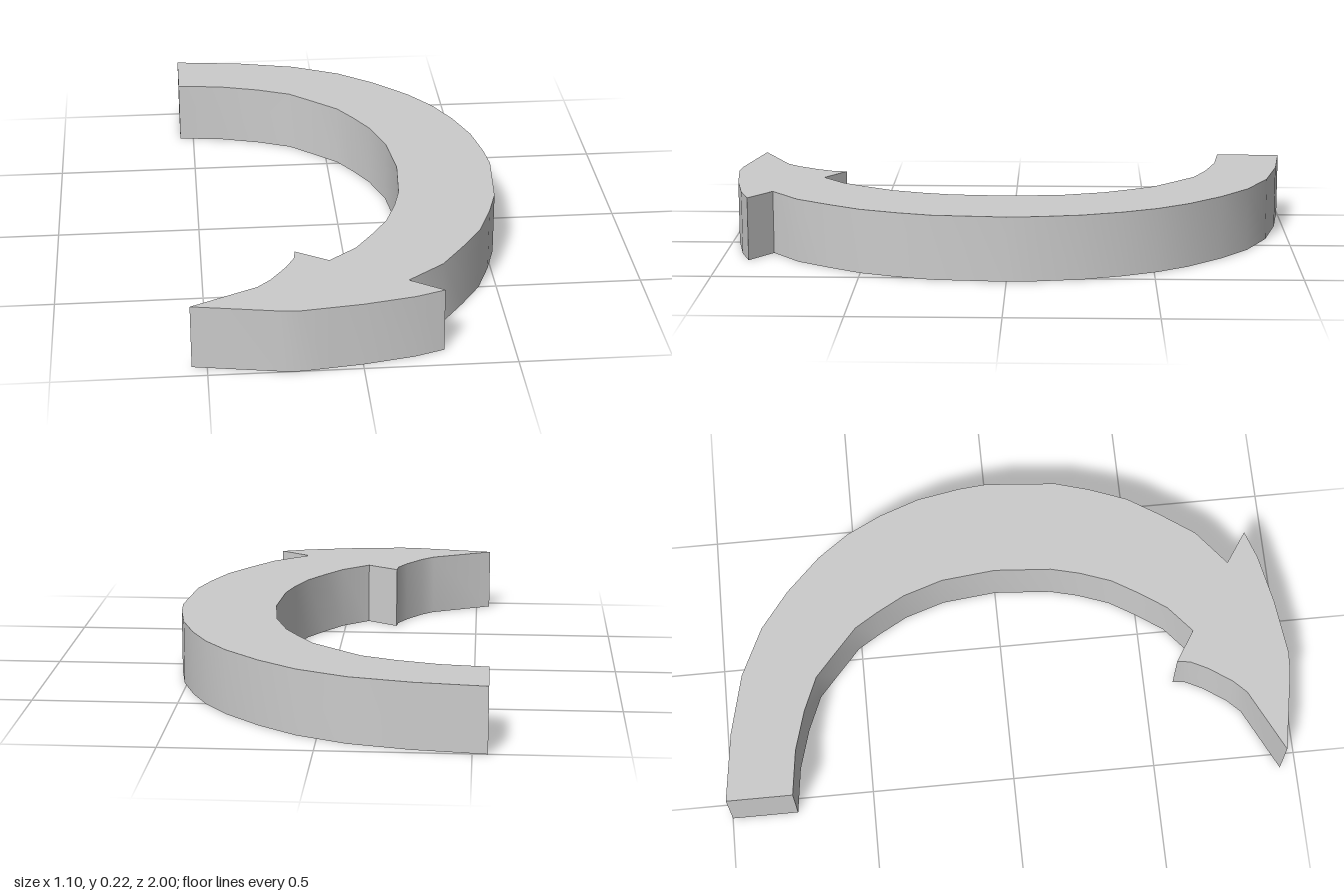
import * as THREE from 'three';
import { toCreasedNormals } from 'three/addons/utils/BufferGeometryUtils.js';

const HEIGHT = 0.222;

// Outline runs as [x, z], seen from above
const outerArc = [
  [-0.55, -1], [-0.31, -0.97], [-0.1, -0.92], [0.07, -0.84], [0.2, -0.74],
  [0.32, -0.62], [0.4, -0.51], [0.46, -0.39], [0.51, -0.25], [0.537, -0.1],
  [0.546, 0], [0.525, 0.25], [0.49, 0.37], [0.44, 0.5], [0.37, 0.61],
  [0.285, 0.73], [0.16, 0.83],
];
const arrowHead = [
  [0.27, 0.905], [0.17, 0.94], [0, 0.975], [-0.12, 0.99], [-0.2, 1],
  [-0.27, 0.995], [-0.55, 0.945], // tip
  [-0.33, 0.835], [-0.285, 0.79], [-0.23, 0.71], [-0.2, 0.65], [-0.195, 0.605],
];
const innerArc = [
  [-0.085, 0.675], [0.01, 0.595], [0.075, 0.5], [0.13, 0.41], [0.17, 0.3], [0.195, 0.2],
  [0.21, 0], [0.19, -0.19], [0.145, -0.33], [0.09, -0.43], [0.04, -0.51],
  [-0.05, -0.59], [-0.13, -0.66], [-0.25, -0.71], [-0.39, -0.75], [-0.55, -0.77],
];

export function createModel() {
  const group = new THREE.Group();
  group.name = 'curvedArrow';

  // Flat arrow outline raised into a solid slab
  const outline = [...outerArc, ...arrowHead, ...innerArc]
    .map(([x, z]) => new THREE.Vector2(x, -z));
  const slab = new THREE.ExtrudeGeometry(new THREE.Shape(outline), {
    depth: HEIGHT,
    bevelEnabled: false,
  });
  slab.rotateX(-Math.PI / 2);

  // Smooth along the curves, sharp at the rims and corners
  const arrow = new THREE.Mesh(
    toCreasedNormals(slab, THREE.MathUtils.degToRad(35)),
    new THREE.MeshStandardMaterial({ color: 0xcccccc }),
  );
  arrow.name = 'arrowBody';
  group.add(arrow);
  return group;
}
